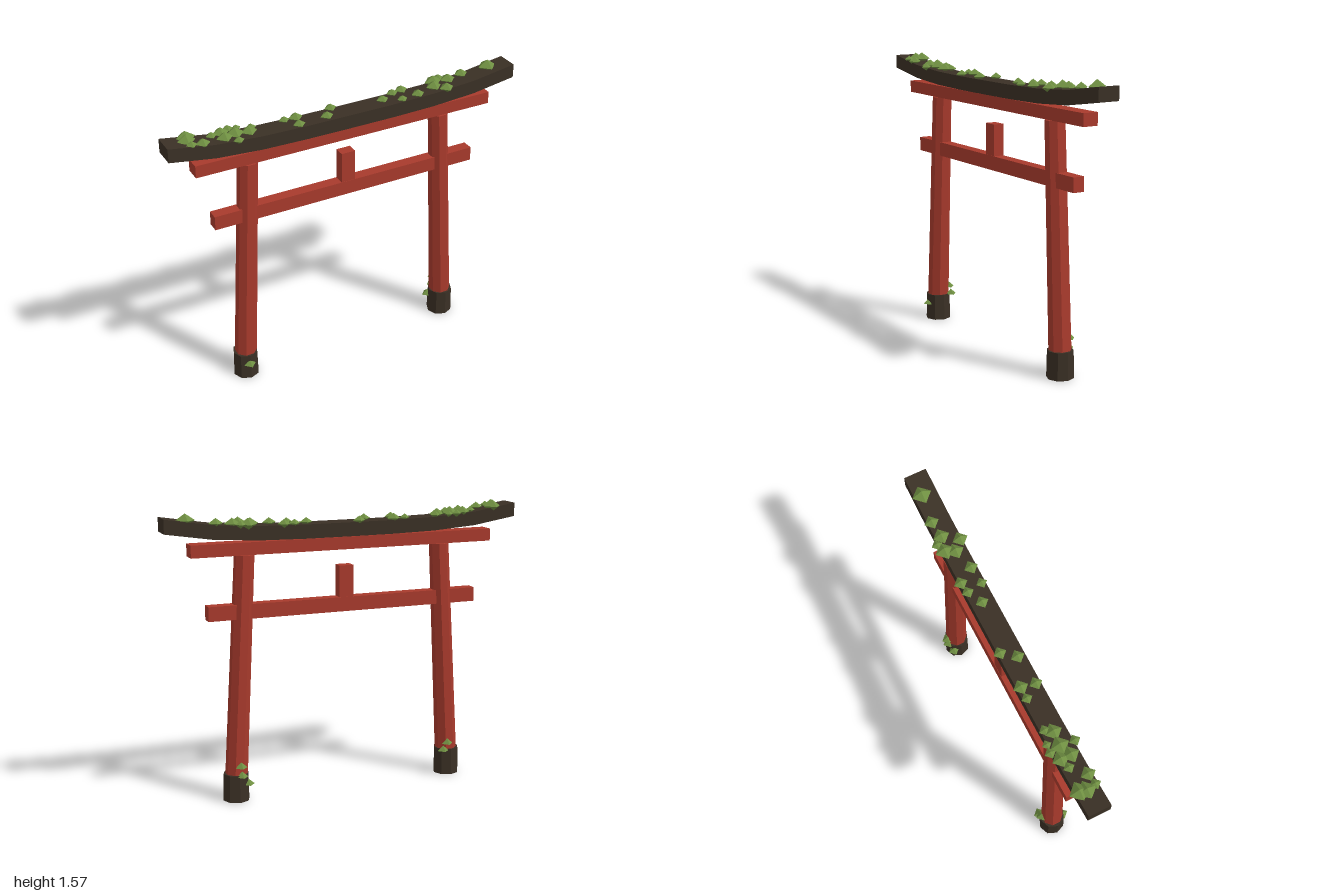
import * as THREE from 'three';

const paint = (name, color) => {
  const m = new THREE.MeshStandardMaterial({ color, flatShading: true });
  m.name = name;
  return m;
};

export function createModel() {
  const red = paint('vermilion', 0xa83a2c);
  const dark = paint('darkWood', 0x3a3025);
  const green = paint('moss', 0x6f8f42);
  const group = new THREE.Group();

  const add = (name, geometry, material, x = 0, y = 0, z = 0) => {
    const mesh = new THREE.Mesh(geometry, material);
    mesh.name = name;
    mesh.position.set(x, y, z);
    group.add(mesh);
    return mesh;
  };

  // Roof beam: a bar whose ends sweep upward
  const lift = (x) => 0.062 * Math.pow(Math.abs(x), 3.5);
  const roof = new THREE.BoxGeometry(2, 0.075, 0.122, 8, 1, 1);
  const p = roof.attributes.position;
  for (let i = 0; i < p.count; i++) p.setY(i, p.getY(i) + lift(p.getX(i)));
  roof.computeVertexNormals();
  add('roofBeam', roof, dark, 0, 1.4465, 0);

  // Cross beams and the strut between them
  add('upperBeam', new THREE.BoxGeometry(1.72, 0.067, 0.086), red, 0, 1.3715, 0);
  add('lowerBeam', new THREE.BoxGeometry(1.544, 0.078, 0.064), red, 0, 1.038, 0);
  add('centreStrut', new THREE.BoxGeometry(0.08, 0.175, 0.06), red, 0, 1.162, 0);

  // Octagonal posts leaning inward, on dark footings
  for (const side of [-1, 1]) {
    const label = side > 0 ? 'left' : 'right';
    const post = new THREE.CylinderGeometry(0.054, 0.062, 1.336, 8);
    post.rotateY(Math.PI / 8);
    post.applyMatrix4(new THREE.Matrix4().set(
      1, -side * 0.055, 0, 0,
      0, 1, 0, 0,
      0, 0, 1, 0,
      0, 0, 0, 1));
    add(label + 'Post', post, red, side * 0.6, 0.668, 0);
    add(label + 'Footing', new THREE.CylinderGeometry(0.07, 0.073, 0.15, 8), dark, side * 0.632, 0.075, 0);
  }

  // Moss tufts on the roof: x, z, radius
  const tufts = [
    [-0.87, -0.04, 0.053], [-0.88, -0.005, 0.05], [-0.87, 0.045, 0.03], [-0.81, 0.04, 0.04],
    [-0.74, -0.025, 0.03], [-0.685, -0.04, 0.045], [-0.685, 0.015, 0.045], [-0.635, -0.07, 0.03],
    [-0.62, -0.01, 0.05], [-0.63, 0.065, 0.03], [-0.59, -0.065, 0.025], [-0.545, -0.005, 0.045],
    [-0.52, -0.04, 0.03], [-0.335, -0.04, 0.03], [-0.27, -0.04, 0.04], [-0.285, 0.035, 0.035],
    [-0.12, 0.02, 0.037], [-0.065, -0.05, 0.035], [0.22, -0.005, 0.035], [0.3, -0.045, 0.033],
    [0.315, 0.04, 0.03], [0.36, -0.055, 0.037], [0.415, 0.03, 0.038], [0.53, 0, 0.045],
    [0.555, -0.05, 0.05], [0.6, -0.07, 0.03], [0.58, 0.05, 0.042], [0.635, -0.03, 0.045],
    [0.725, -0.04, 0.04], [0.88, -0.02, 0.053],
  ];
  const octa = new THREE.OctahedronGeometry(1);
  for (const [x, z, r] of tufts) {
    add('roofMoss', octa, green, x, 1.492 + lift(x), z).scale.set(r, r * 0.68, r);
  }

  // Small moss caps clinging to the footings: x, y, z
  const cap = new THREE.ConeGeometry(0.034, 0.03, 4);
  for (const [x, y, z] of [
    [-0.635, 0.107, 0.065], [-0.61, 0.2, -0.06], [-0.585, 0.16, -0.06],
    [0.62, 0.21, -0.063], [0.615, 0.157, -0.06], [0.575, 0.107, -0.045],
  ]) add('footingMoss', cap, green, x, y, z);

  return group;
}
